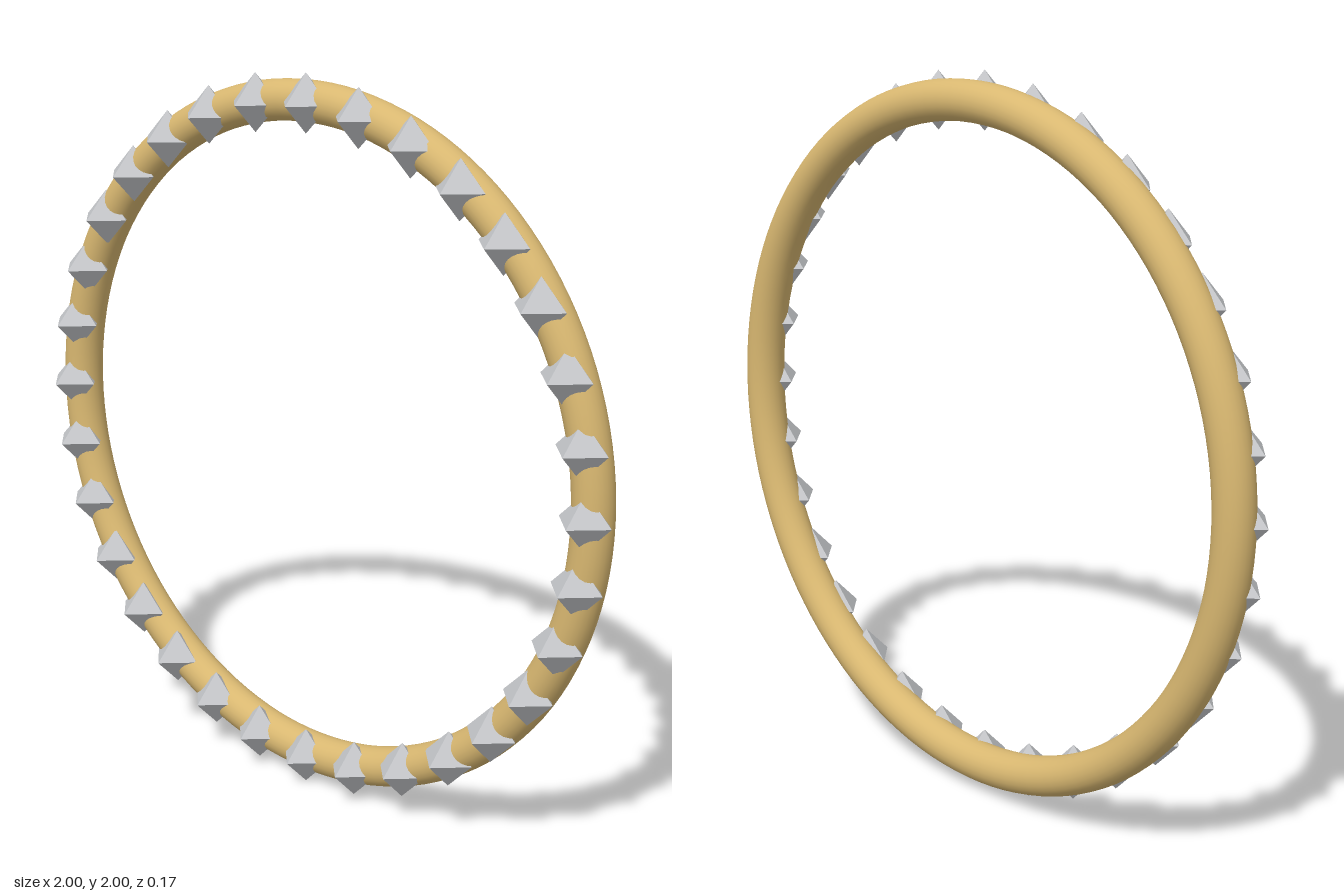
import * as THREE from 'three';

const RING_RADIUS = 0.921, TUBE = 0.055, STUD = 0.079, STUDS = 32;

export function createModel() {
  const gold = new THREE.MeshStandardMaterial({ color: 0xd9b871 });
  gold.name = 'warm gold';
  const silver = new THREE.MeshStandardMaterial({ color: 0xc4c6c9, flatShading: true });
  silver.name = 'silver grey';

  const model = new THREE.Group();
  model.name = 'studdedRing';

  // Smooth upright hoop
  const hoop = new THREE.Mesh(new THREE.TorusGeometry(RING_RADIUS, TUBE, 24, 128), gold);
  hoop.name = 'hoop';
  hoop.position.set(0, 1, -0.029);
  model.add(hoop);

  // Upright eight-sided studs, half sunk into the front of the hoop
  const studs = new THREE.Group();
  studs.name = 'studs';
  const studGeometry = new THREE.OctahedronGeometry(STUD);
  for (let i = 0; i < STUDS; i++) {
    const a = (i / STUDS) * Math.PI * 2;
    const stud = new THREE.Mesh(studGeometry, silver);
    stud.name = 'stud';
    stud.position.set(Math.cos(a) * RING_RADIUS, 1 + Math.sin(a) * RING_RADIUS, 0.005);
    studs.add(stud);
  }
  model.add(studs);
  return model;
}
